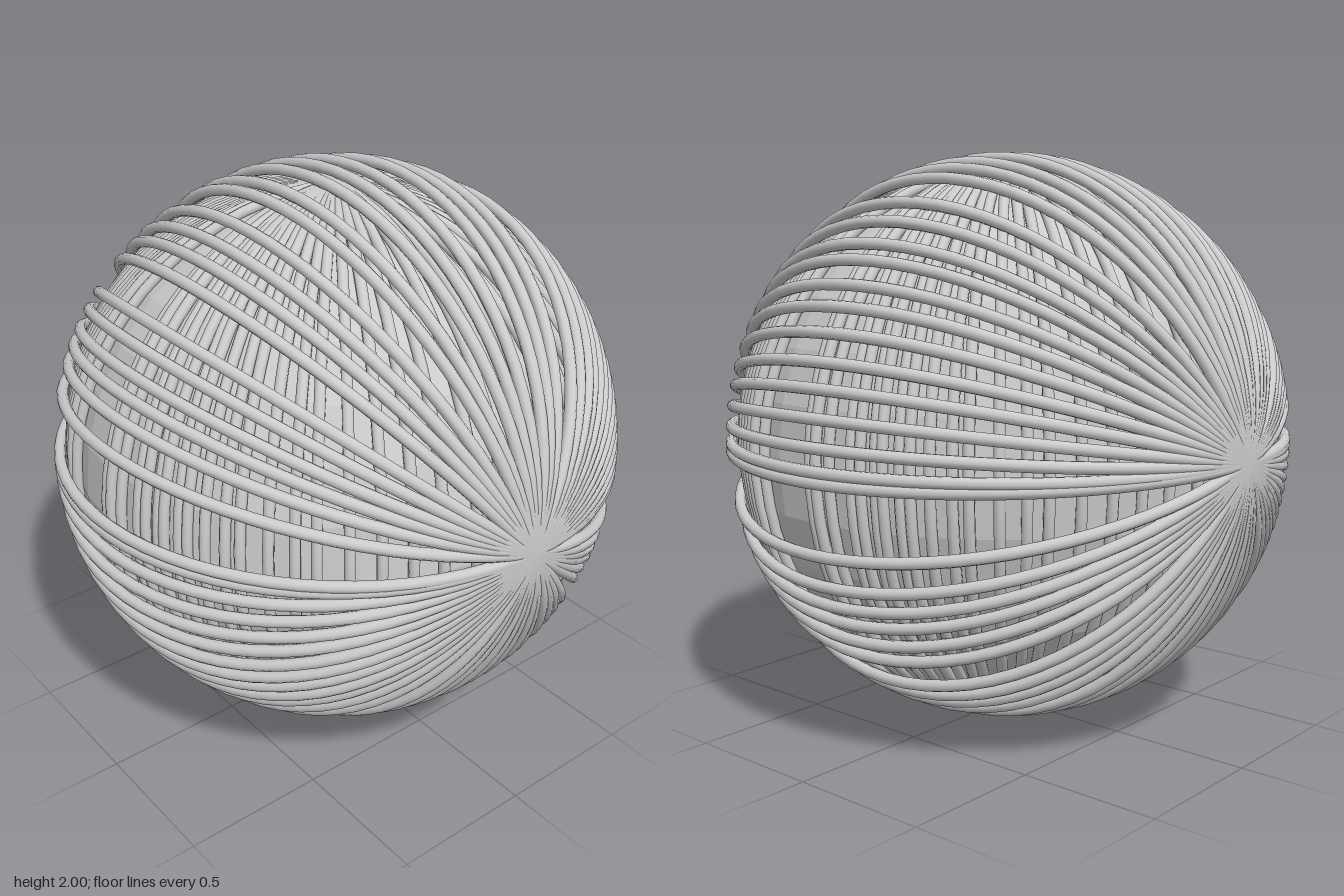
import * as THREE from 'three';

// Angles in degrees. Outer strands turn about the x axis, measured from the back upwards.
const OUTER = [0, 4.3, 9.5, 14.8, 19.7, 25.2, 30.4, 35, 40.5, 44.5, 50.5, 56.5, 66.5, 72, 77,
  84.5, 90, 95.3, 102.5, 106.5, 114.5, 119.8, 124.3, 129.3, 138.7, 143.5, 148.5, 152.5, 157, 163.7, 178];
// Inner strands turn about the y axis, measured from the front towards the left.
const INNER = [0, 1.5, 5, 10.2, 12.3, 15.5, 17, 20.5, 22.5, 26.3, 30.5, 33.5, 39, 44, 48, 54,
  60, 66, 72, 79, 85, 90, 96, 103, 110, 117, 122, 127, 132, 138, 142, 146, 150, 153, 155.5, 158, 163.5];

export function createModel() {
  const model = new THREE.Group();
  const ball = new THREE.Group();
  ball.name = 'yarnBall';
  ball.position.y = 1;
  model.add(ball);

  const yarn = new THREE.MeshStandardMaterial({ color: 0xcccccc });
  const coreMaterial = new THREE.MeshStandardMaterial({ color: 0xcccccc, flatShading: true });

  // Faceted core under the strands
  const core = new THREE.Mesh(new THREE.SphereGeometry(0.93, 32, 16), coreMaterial);
  core.name = 'core';
  ball.add(core);

  // One layer of full rings sharing an axis
  function addLayer(name, radius, tube, angles, axis) {
    const layer = new THREE.Group();
    layer.name = name;
    const geometry = new THREE.TorusGeometry(radius, tube, 10, 72);
    for (const angle of angles) {
      const strand = new THREE.Mesh(geometry, yarn);
      strand.name = name + 'Strand';
      strand.rotation[axis] = THREE.MathUtils.degToRad(angle - 90);
      layer.add(strand);
    }
    ball.add(layer);
  }

  addLayer('innerWinding', 0.94, 0.018, INNER, 'y');
  addLayer('outerWinding', 0.98, 0.02, OUTER, 'x');

  return model;
}
